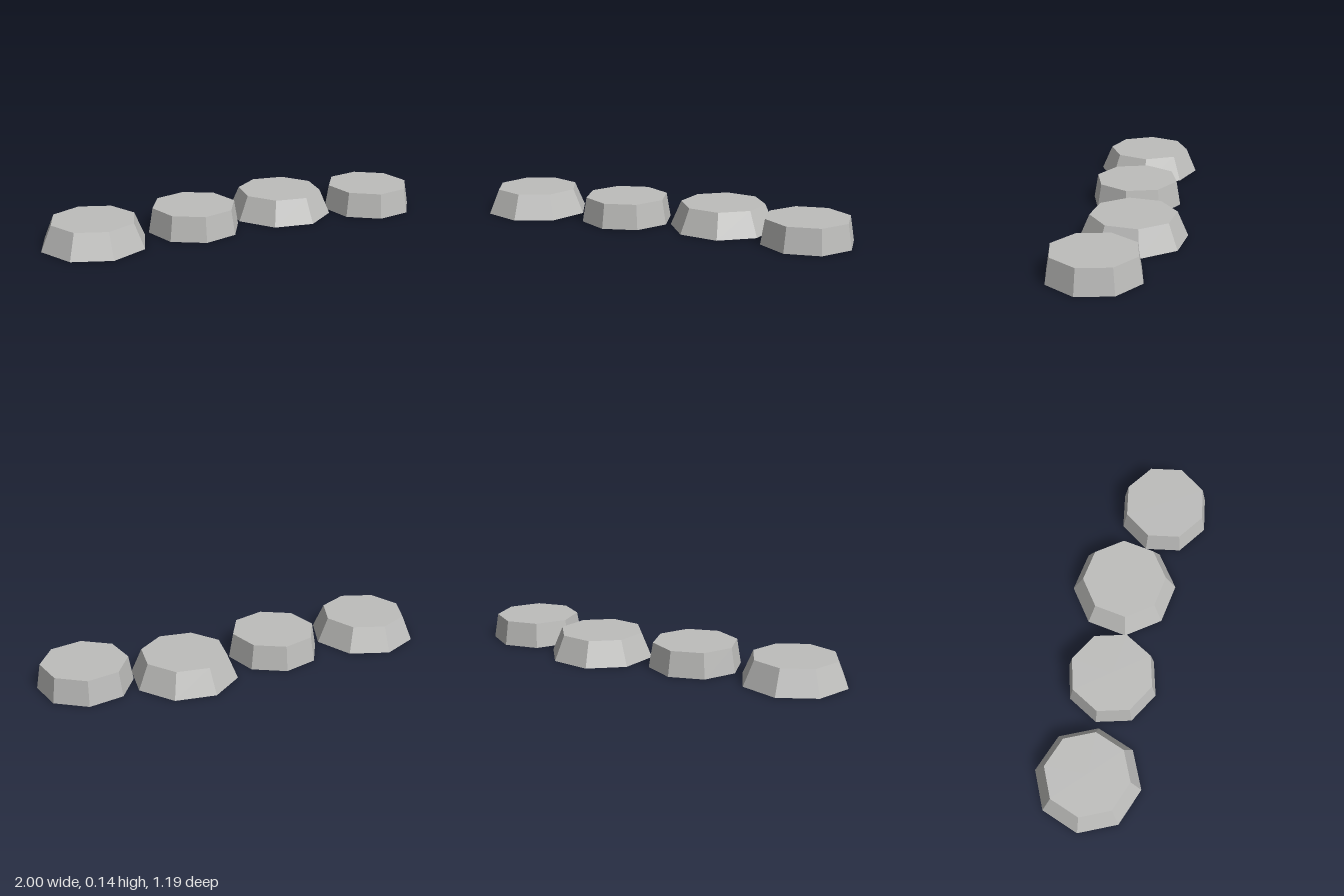
import * as THREE from 'three';

const HEIGHT = 0.135;
const TOP_RADIUS = 0.229;

// x, z, base radius, turn in degrees
const STONES = [
  [-0.727, 0.32, 0.287, -16.3],
  [-0.22, 0.064, 0.252, 19.2],
  [0.245, -0.233, 0.287, -4.8],
  [0.753, -0.354, 0.252, 14.1],
];

export function createModel() {
  const model = new THREE.Group();
  model.name = 'steppingStones';
  const stone = new THREE.MeshStandardMaterial({ color: 0xbdbdbb, flatShading: true });
  stone.name = 'stoneGrey';

  // Eight-sided stones with sloping sides, laid in a winding row
  STONES.forEach(([x, z, baseRadius, turn], i) => {
    const mesh = new THREE.Mesh(
      new THREE.CylinderGeometry(TOP_RADIUS, baseRadius, HEIGHT, 8),
      stone
    );
    mesh.name = `steppingStone${i + 1}`;
    mesh.position.set(x, HEIGHT / 2, z);
    mesh.rotation.y = THREE.MathUtils.degToRad(turn);
    model.add(mesh);
  });
  return model;
}
